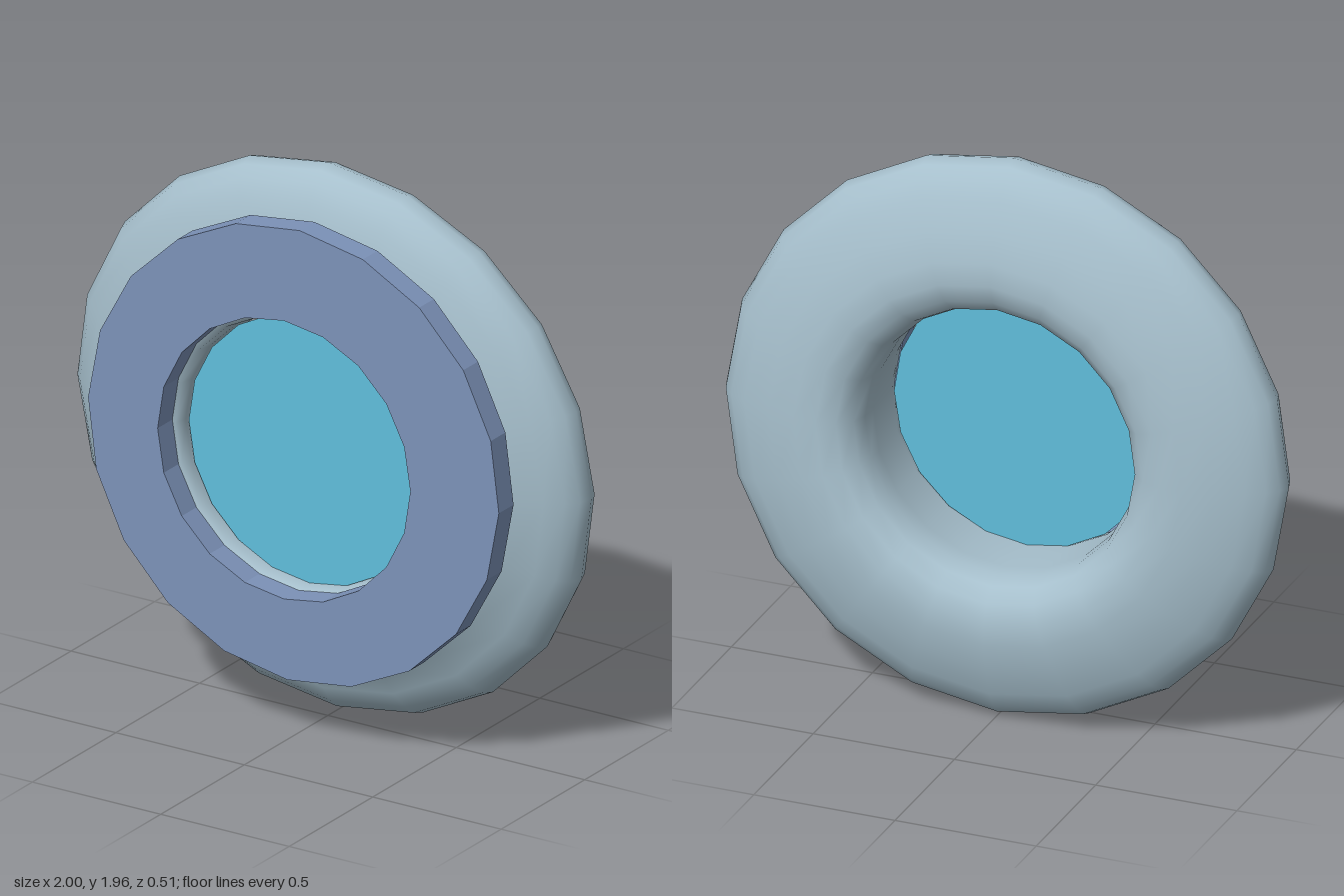
import * as THREE from 'three';

const SIDES = 20;
const CENTER_Y = 0.978;

// Ring cross-section: radius, depth, and 1 where the depth is measured from
// the flat front seat instead of the slightly tilted middle plane.
const PROFILE = [
  [1.0, 0, 0], [0.985, 0.045, 0], [0.95, 0.083, 0], [0.89, 0.12, 0], [0.8, 0.152, 0],
  [0.72, 0.15, 1], [0.66, 0.168, 1], [0.54, 0.168, 1], [0.49, 0.16, 1],
  [0.482, 0.11, 1], [0.478, 0.0, 0], [0.482, -0.06, 0], [0.5, -0.115, 0],
  [0.545, -0.158, 0], [0.61, -0.176, 0], [0.69, -0.174, 0],
  [0.79, -0.15, 0], [0.89, -0.113, 0], [0.95, -0.078, 0], [0.985, -0.042, 0],
];

// Rounded ring lofted around z, leaning back towards the bottom
function ringGeometry() {
  const positions = [], index = [];
  const n = PROFILE.length;
  for (let i = 0; i < SIDES; i++) {
    const a = (i / SIDES) * Math.PI * 2;
    for (const [r, depth, flat] of PROFILE) {
      const x = Math.cos(a) * r;
      const y = Math.sin(a) * r * 0.978;
      const middle = -0.05 + 0.05 * y + 0.01 * x;
      positions.push(x, y, flat ? depth : middle + depth);
    }
  }
  for (let i = 0; i < SIDES; i++) {
    for (let j = 0; j < n; j++) {
      const i2 = (i + 1) % SIDES, j2 = (j + 1) % n;
      const a = i * n + j, b = i2 * n + j, c = i2 * n + j2, d = i * n + j2;
      index.push(a, b, d, b, c, d);
    }
  }
  const geometry = new THREE.BufferGeometry();
  geometry.setAttribute('position', new THREE.Float32BufferAttribute(positions, 3));
  geometry.setIndex(index);
  geometry.computeVertexNormals();
  return geometry;
}

// Regular polygon outline
function polygon(cx, cy, radius, turn) {
  return Array.from({ length: SIDES }, (_, i) => {
    const a = (i / SIDES) * Math.PI * 2 + turn;
    return new THREE.Vector2(cx + Math.cos(a) * radius, cy + Math.sin(a) * radius);
  });
}

export function createModel() {
  const frameGrey = new THREE.MeshStandardMaterial({ color: 0xa6bfcc });
  const plateBlue = new THREE.MeshStandardMaterial({ color: 0x7c92b8 });
  const glassBlue = new THREE.MeshStandardMaterial({ color: 0x60bedb, side: THREE.DoubleSide });

  const model = new THREE.Group();
  model.name = 'portholeWindow';

  const add = (name, geometry, material, y, z) => {
    const mesh = new THREE.Mesh(geometry, material);
    mesh.name = name;
    mesh.position.set(0, y, z);
    model.add(mesh);
  };

  add('roundedRing', ringGeometry(), frameGrey, CENTER_Y, 0);

  // Flat front flange, set slightly off centre around its hole
  const flange = new THREE.Shape(polygon(0.03, 1.015, 0.8, -0.03));
  flange.holes.push(new THREE.Path(polygon(-0.007, 0.99, 0.492, 0)));
  add('frontFlange', new THREE.ExtrudeGeometry(flange, { depth: 0.088, bevelEnabled: false }),
    plateBlue, 0, 0.164);

  // Recessed pane
  add('glassPane', new THREE.CircleGeometry(0.47, SIDES), glassBlue, 0.977, 0.11);

  return model;
}
